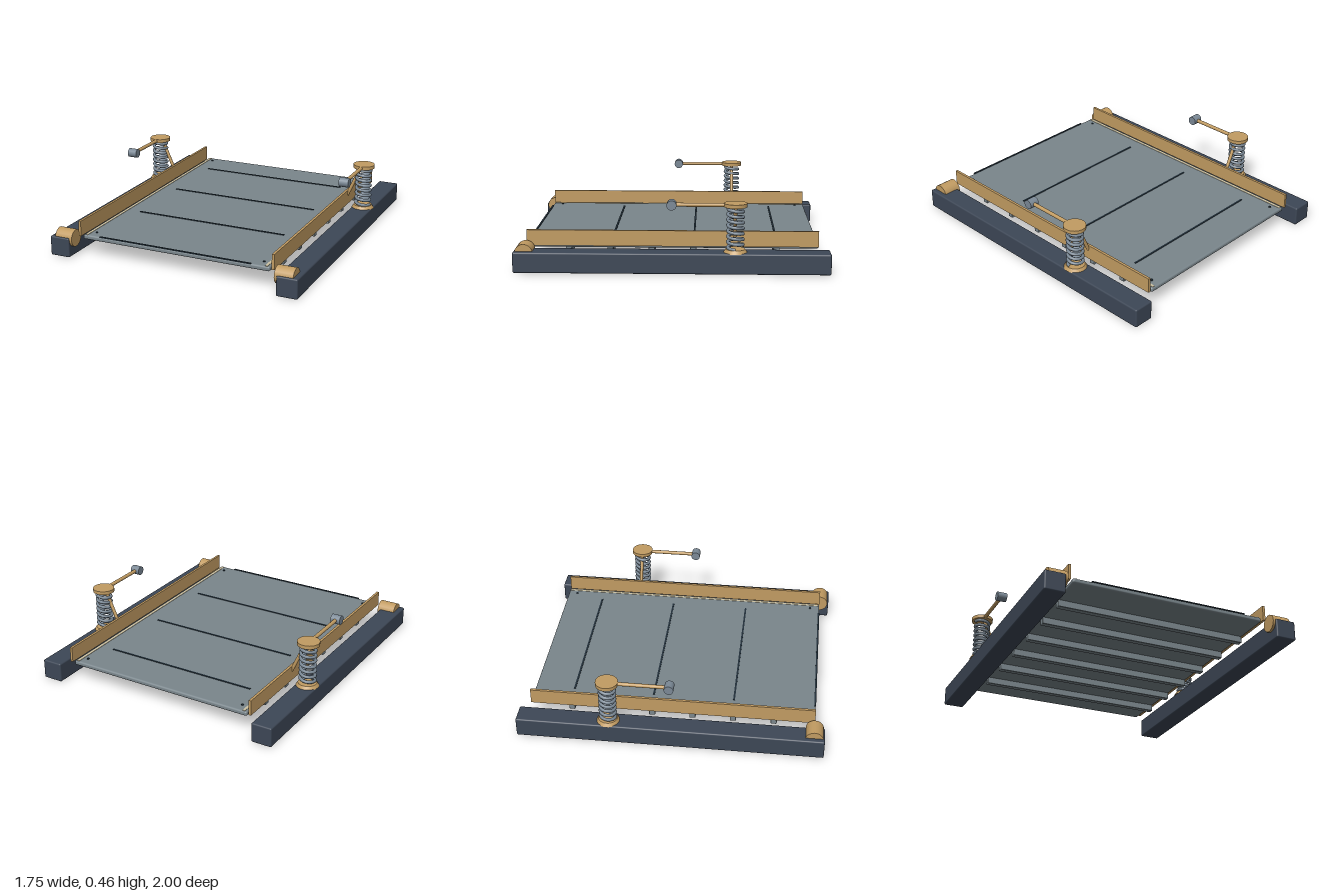
import * as THREE from 'three';
import { RoundedBoxGeometry } from 'three/addons/geometries/RoundedBoxGeometry.js';

const paint = (name, color) => {
  const m = new THREE.MeshStandardMaterial({ color });
  m.name = name;
  return m;
};

// Helix around the y axis
class Helix extends THREE.Curve {
  constructor(radius, height, turns) {
    super();
    Object.assign(this, { radius, height, turns });
  }
  getPoint(t, target = new THREE.Vector3()) {
    const a = t * this.turns * Math.PI * 2;
    return target.set(Math.cos(a) * this.radius, t * this.height, Math.sin(a) * this.radius);
  }
}

export function createModel() {
  const model = new THREE.Group();
  model.name = 'springDeck';

  const navy = paint('dark navy', 0x3d4756);
  const steel = paint('grey steel', 0x7a868c);
  const blueSteel = paint('blue steel', 0x7b8996);
  const brass = paint('brass', 0xc29c62);
  const cream = paint('pale trim', 0xcfc4a4);
  const dark = paint('dark groove', 0x22303a);

  const add = (parent, name, geometry, material, x = 0, y = 0, z = 0) => {
    const mesh = new THREE.Mesh(geometry, material);
    mesh.name = name;
    mesh.position.set(x, y, z);
    parent.add(mesh);
    return mesh;
  };

  // Cylinder between two points
  const rod = (parent, name, from, to, radius, material) => {
    const a = new THREE.Vector3(...from), b = new THREE.Vector3(...to);
    const dir = b.clone().sub(a);
    const mesh = add(parent, name, new THREE.CylinderGeometry(radius, radius, dir.length(), 20), material);
    mesh.position.copy(a).add(b).multiplyScalar(0.5);
    mesh.quaternion.setFromUnitVectors(new THREE.Vector3(0, 1, 0), dir.normalize());
    return mesh;
  };

  // Deck plate with cross ribs beneath and grooves on top
  const deck = new THREE.Group();
  deck.name = 'deck';
  model.add(deck);
  add(deck, 'deckPlate', new RoundedBoxGeometry(1.32, 0.032, 1.866, 3, 0.012), steel, 0, 0.136, 0);
  for (let i = 0; i < 6; i++) {
    add(deck, 'crossRib', new RoundedBoxGeometry(1.31, 0.05, 0.04, 2, 0.005), steel, 0, 0.1, -0.667 + i * 0.2667);
  }
  for (let i = 0; i < 4; i++) {
    add(deck, 'groove', new THREE.BoxGeometry(1.07, 0.006, 0.012), dark, 0, 0.153, -0.67 + i * 0.533);
  }

  for (const s of [1, -1]) {
    const side = new THREE.Group();
    side.name = s > 0 ? 'leftSide' : 'rightSide';
    model.add(side);

    // Ground rail
    add(side, 'rail', new RoundedBoxGeometry(0.14, 0.132, 2, 3, 0.01), navy, s * 0.8, 0.066, 0);

    // Guard, deck edge trim and corner screws
    add(side, 'guard', new THREE.BoxGeometry(0.017, 0.102, 1.866), brass, s * 0.683, 0.189, 0);
    add(side, 'edgeTrim', new THREE.BoxGeometry(0.018, 0.004, 1.85), cream, s * 0.636, 0.1525, 0);
    for (const z of [-0.87, 0.865]) {
      add(side, 'screw', new THREE.CylinderGeometry(0.008, 0.008, 0.008, 12), dark, s * 0.595, 0.154, z);
    }

    // Front roller, half sunk into the rail
    rod(side, 'roller', [s * 0.713, 0.12, 0.933], [s * 0.837, 0.12, 0.933], 0.058, brass);

    // Spring post with a handle pointing forwards
    const post = new THREE.Group();
    post.name = 'springPost';
    post.position.set(s * 0.8, 0, -0.4);
    side.add(post);
    add(post, 'springSeat', new THREE.CylinderGeometry(0.062, 0.076, 0.022, 32), brass, 0, 0.14, 0);
    add(post, 'spring', new THREE.TubeGeometry(new Helix(0.048, 0.265, 7.5), 200, 0.011, 8), blueSteel, 0, 0.152, 0);
    add(post, 'springCap', new THREE.CylinderGeometry(0.073, 0.073, 0.024, 32), brass, 0, 0.432, 0);
    rod(post, 'handle', [0, 0.431, 0.02], [0, 0.431, 0.39], 0.0125, brass);
    rod(post, 'knob', [-0.033, 0.431, 0.4], [0.033, 0.431, 0.4], 0.031, blueSteel);

    // Strut between the cap and the guard
    rod(post, 'strut', [-s * 0.02, 0.42, 0], [-s * 0.115, 0.205, 0], 0.0115, brass);
  }

  return model;
}
